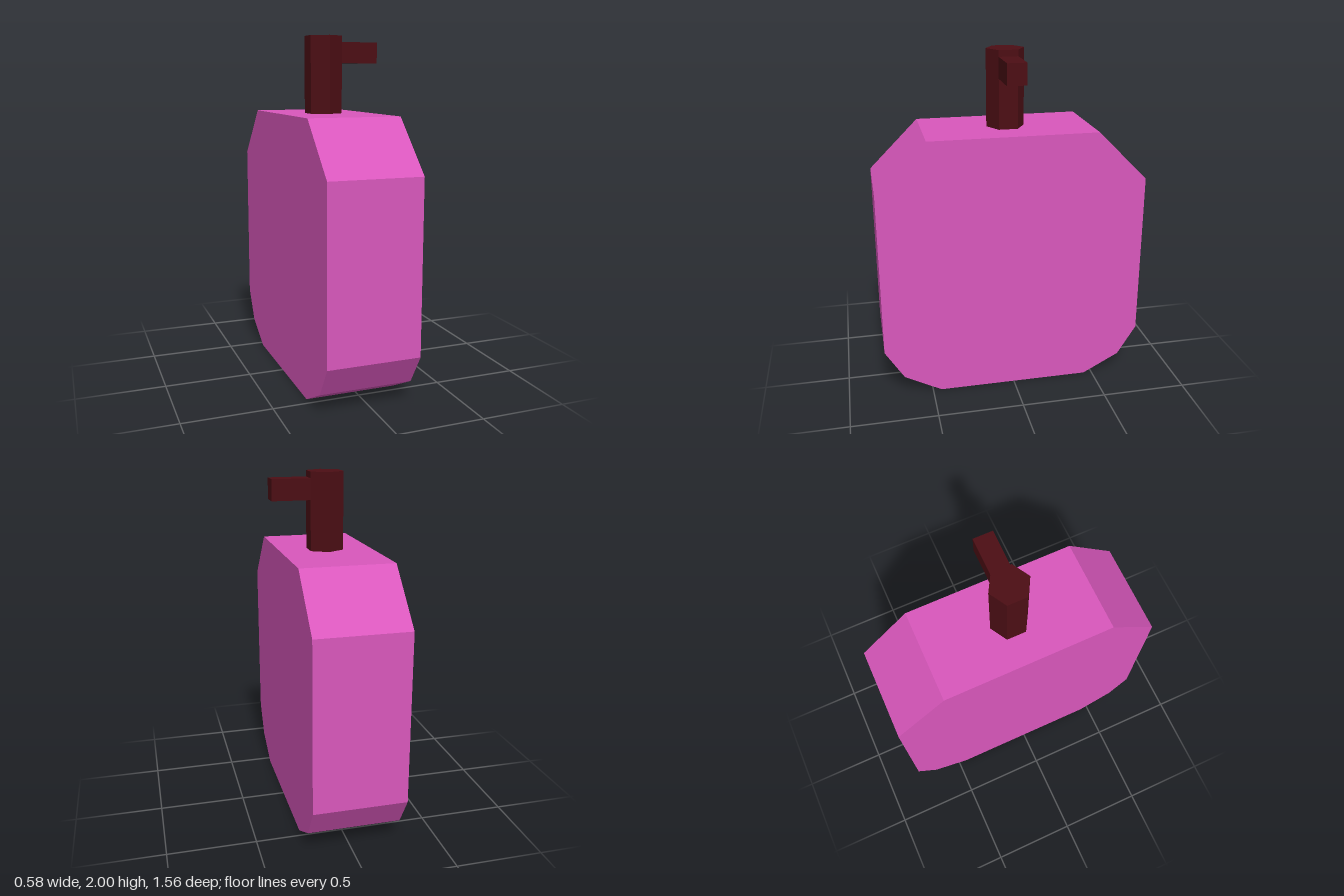
import * as THREE from 'three';

export function createModel() {
  const group = new THREE.Group();
  const pink = new THREE.MeshStandardMaterial({ color: 0xd957bc, flatShading: true });
  const maroon = new THREE.MeshStandardMaterial({ color: 0x4c0e14, flatShading: true });

  const add = (name, geometry, material, x, y, z) => {
    const mesh = new THREE.Mesh(geometry, material);
    mesh.name = name;
    mesh.position.set(x, y, z);
    group.add(mesh);
  };

  // Bottle: half outline (z, y) mirrored, then extruded across x
  const half = [[0.45, 0], [0.667, 0.115], [0.778, 0.293], [0.778, 1.265], [0.487, 1.556]];
  const outline = [...half, ...half.map(([z, y]) => [-z, y]).reverse()];
  const shape = new THREE.Shape(outline.map(([z, y]) => new THREE.Vector2(z, y)));
  const width = 0.532;
  const bottle = new THREE.ExtrudeGeometry(shape, { depth: width, bevelEnabled: false });
  bottle.translate(0, 0, -width / 2).rotateY(Math.PI / 2);
  add('bottle', bottle, pink, -0.026, 0, 0);

  // Hexagonal pump stem standing on the bottle
  const stemRadius = 0.11;
  add('pumpStem', new THREE.CylinderGeometry(stemRadius, stemRadius, 0.444, 6), maroon, -0.027, 1.778, 0);

  // Spout growing out of one flat side of the stem
  add('spout', new THREE.BoxGeometry(0.222, 0.12, stemRadius), maroon, 0.178, 1.904, 0);

  return group;
}
